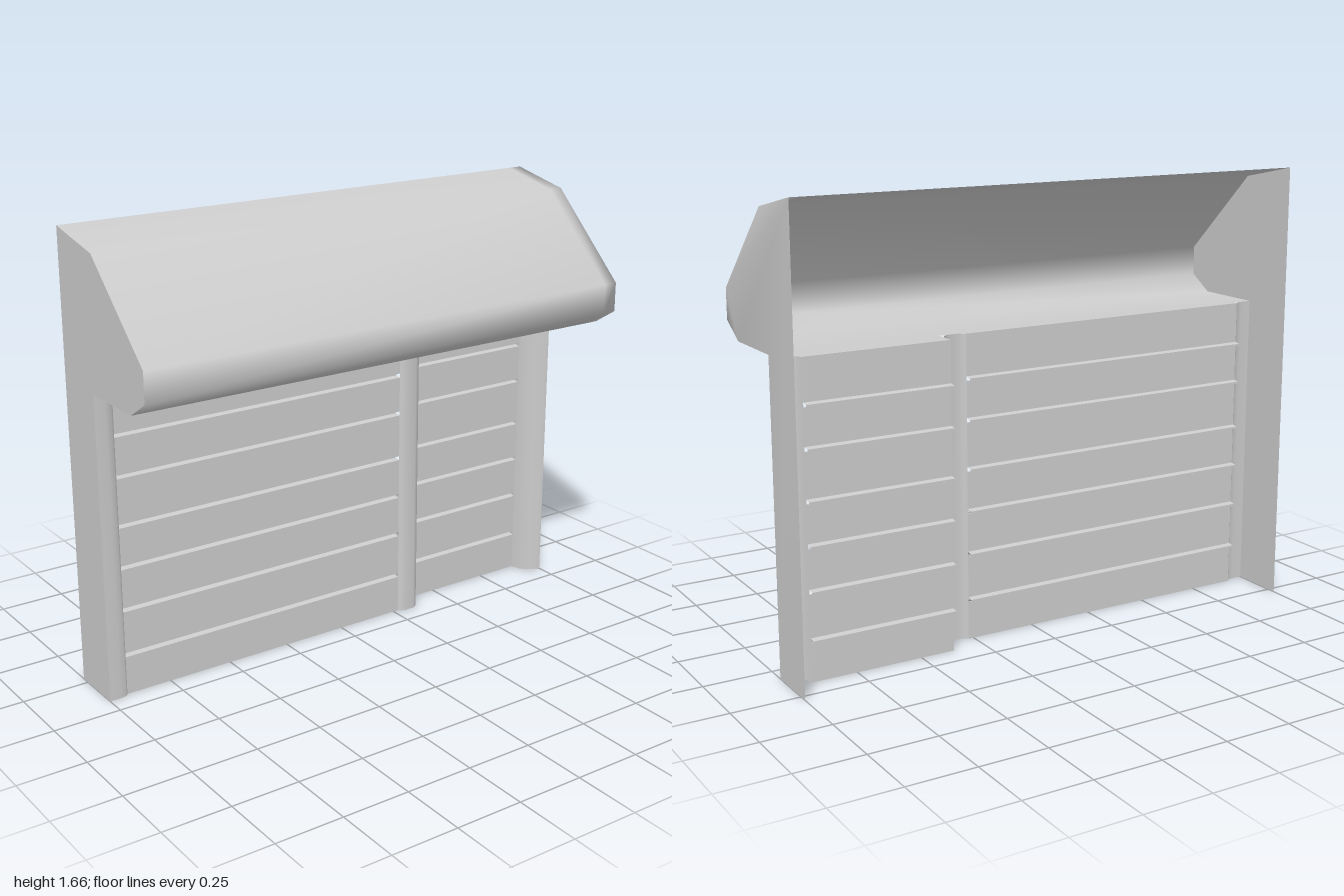
import * as THREE from 'three';

const material = new THREE.MeshStandardMaterial({ color: 0xcccccc, side: THREE.DoubleSide });

const H = 1.13;             // underside of the hood, top of the wall
const FRONT = -0.075;       // front plane of the posts
const BACK = -0.283;        // open back of the shell
const WIDE_WALL = -0.09;    // front plane of the wide board wall
const NARROW_WALL = -0.16;  // front plane of the narrow board wall

// Hood section as [z, y], from the back edge over the front to the wall
const hoodProfile = [[BACK, 1.66], [-0.04, 1.61], [0.285, 1.3], [0.285, 1.19], [0.19, H], [FRONT, H]];
const sideOutline = [...hoodProfile, [FRONT, 0], [BACK, 0]];

// Triangles of the side outline, all facing +x
function sideTriangles() {
  const pts = sideOutline.map(([z, y]) => new THREE.Vector2(-z, y));
  return THREE.ShapeUtils.triangulateShape(pts, []).map(([a, b, c]) =>
    THREE.ShapeUtils.area([pts[a], pts[b], pts[c]]) > 0 ? [a, b, c] : [a, c, b]);
}

// Sheet through rings of [x, y, z] points
function loft(rings) {
  const n = rings[0].length;
  const index = [];
  for (let i = 0; i < rings.length - 1; i++) {
    for (let j = 0; j < n - 1; j++) {
      const a = i * n + j, b = a + n;
      index.push(a, a + 1, b, b, a + 1, b + 1);
    }
  }
  return { points: rings.flat(), index };
}

function makeMesh(name, { points, index }, smooth) {
  let geometry = new THREE.BufferGeometry();
  geometry.setAttribute('position', new THREE.Float32BufferAttribute(points.flat(), 3));
  geometry.setIndex(index);
  if (!smooth) geometry = geometry.toNonIndexed();
  geometry.computeVertexNormals();
  const mesh = new THREE.Mesh(geometry, material);
  mesh.name = name;
  return mesh;
}

// Hood and left side panel share one softly shaded edge
function hoodWithSide() {
  const sheet = loft([-1, 0.945, 1].map(x => hoodProfile.map(([z, y]) => [x, y, z])));
  const first = 2 * hoodProfile.length;
  sheet.points.push([1, 0, FRONT], [1, 0, BACK]);
  for (const tri of sideTriangles()) sheet.index.push(...tri.map(i => first + i));
  return makeMesh('hoodAndLeftSide', sheet, true);
}

// Right side panel, with a crisp edge against the hood
function rightSide() {
  return makeMesh('rightSide', {
    points: sideOutline.map(([z, y]) => [-1, y, z]),
    index: sideTriangles().flatMap(([a, b, c]) => [a, c, b]),
  }, false);
}

// Board wall with narrow horizontal grooves, topped by a soffit strip
function boardWall(name, x0, x1, z) {
  const profile = [[FRONT, H], [z, H]];
  const groove = z - 0.022;
  for (const y of [0.97, 0.82, 0.64, 0.485, 0.325, 0.152]) {
    profile.push([z, y + 0.008], [groove, y + 0.004], [groove, y - 0.004], [z, y - 0.008]);
  }
  profile.push([z, 0]);
  return makeMesh(name, loft([x0, x1].map(x => profile.map(([pz, y]) => [x, y, pz]))), false);
}

// Hollow rounded post, open at the back; section as [x, z]
function post(name, section) {
  return makeMesh(name, loft([0, H].map(y => section.map(([x, z]) => [x, y, z]))), true);
}

// Soffit over a post, closing the gap between its section and the hood
function postTop(name, x0, x1, z0, z1) {
  return makeMesh(name, loft([
    [[x0, H, FRONT], [x0, H, z0]],
    [[x1, H, FRONT], [x1, H, z1]],
  ]), false);
}

export function createModel() {
  const group = new THREE.Group();
  group.name = 'hoodedWall';

  group.add(
    hoodWithSide(),
    rightSide(),
    boardWall('wideBoardWall', -0.925, 0.27, WIDE_WALL),
    boardWall('narrowBoardWall', 0.37, 0.92, NARROW_WALL),
    post('rightPost', [[-1, FRONT], [-0.96, FRONT], [-0.935, -0.079], [-0.925, WIDE_WALL]]),
    post('middlePost', [
      [0.27, WIDE_WALL], [0.278, -0.08], [0.295, FRONT], [0.335, FRONT],
      [0.355, -0.085], [0.365, -0.11], [0.37, NARROW_WALL],
    ]),
    post('leftPost', [[0.92, NARROW_WALL], [0.93, -0.125], [0.955, -0.095], [0.985, -0.078], [1, FRONT]]),
    postTop('leftPostTop', 0.92, 1, NARROW_WALL, FRONT),
  );
  return group;
}
